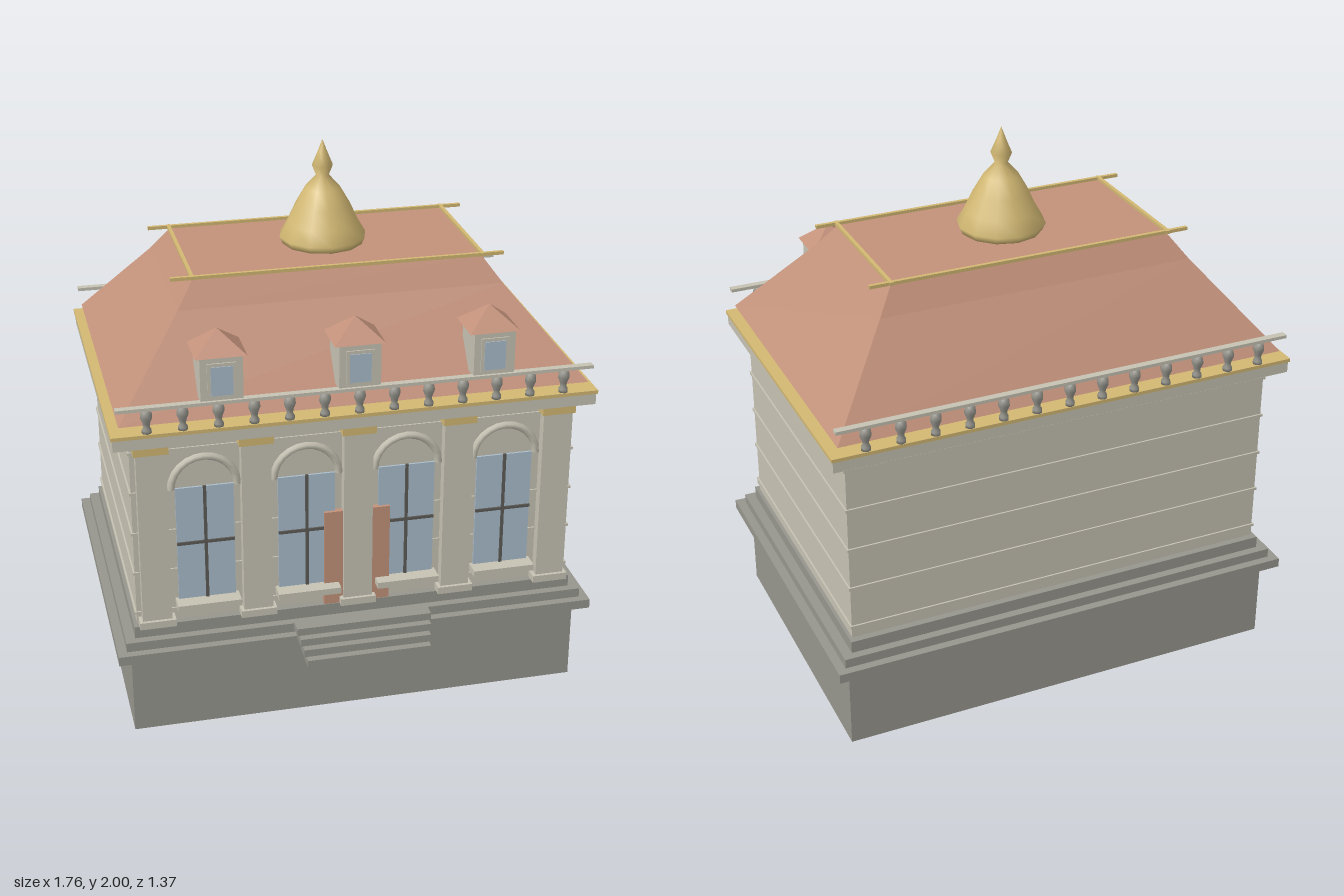
import * as THREE from 'three';

const CZ = -0.07; // centre of the building in depth

function mat(name, color) {
  const m = new THREE.MeshStandardMaterial({ color });
  m.name = name;
  return m;
}

export function createModel() {
  const root = new THREE.Group();
  root.name = 'mansion';
  const stone = mat('pale stone', 0xc6c2b3);
  const base = mat('grey stone', 0x96958d);
  const tile = mat('terracotta', 0xc2917a);
  const gold = mat('gold', 0xd2b873);
  const glass = mat('window glass', 0xaabccb);
  const iron = mat('dark iron', 0x5c5b56);

  const add = (name, geometry, material, x, y, z, parent = root) => {
    const m = new THREE.Mesh(geometry, material);
    m.name = name;
    m.position.set(x, y, z);
    parent.add(m);
    return m;
  };
  // box given by its centre in x and z and by its bottom and top
  const box = (name, material, w, y0, y1, d, x = 0, z = CZ, parent = root) =>
    add(name, new THREE.BoxGeometry(w, y1 - y0, d), material, x, (y0 + y1) / 2, z, parent);
  // box whose top is resized
  const frustum = (name, material, w, d, topW, topD, y0, y1, x = 0, z = CZ, parent = root) => {
    const g = new THREE.BoxGeometry(w, y1 - y0, d);
    const p = g.attributes.position;
    for (let i = 0; i < p.count; i++) {
      if (p.getY(i) > 0) {
        p.setX(i, p.getX(i) * topW / w);
        p.setZ(i, p.getZ(i) * topD / d);
      }
    }
    g.computeVertexNormals();
    return add(name, g, material, x, (y0 + y1) / 2, z, parent);
  };

  // Basement and stepped plinth
  box('basement', base, 1.66, 0, 0.31, 1.13);
  box('plinthLower', base, 1.76, 0.31, 0.345, 1.23);
  box('plinthMiddle', base, 1.695, 0.345, 0.38, 1.17);
  box('plinthUpper', base, 1.625, 0.38, 0.425, 1.11);

  // Walls with slim courses, and the cornice
  box('walls', stone, 1.6, 0.425, 1.14, 1.06);
  for (const y of [0.47, 0.63, 0.787, 0.945, 1.1])
    box('wallCourse', stone, 1.612, y - 0.005, y + 0.005, 1.072);
  box('cornice', stone, 1.72, 1.14, 1.182, 1.18);
  box('corniceTrim', gold, 1.73, 1.182, 1.195, 1.19);

  // Entrance stairs
  for (let i = 0; i < 4; i++) {
    const top = 0.408 - i * 0.028;
    box('stair', base, 0.495 - i * 0.014, top - 0.028, top, 0.06, 0, 0.572 + i * 0.0275);
  }

  // Pilasters
  for (let i = -2; i <= 2; i++) {
    const x = i * 0.365;
    box('pilasterShaft', stone, 0.105, 0.425, 1.14, 0.045, x, 0.475);
    box('pilasterBase', stone, 0.13, 0.425, 0.452, 0.065, x, 0.477);
    box('pilasterCapital', gold, 0.122, 1.108, 1.135, 0.06, x, 0.48);
  }

  // Arched windows
  const archGeo = new THREE.TorusGeometry(0.117, 0.014, 6, 12, Math.PI);
  for (const x of [-0.545, -0.182, 0.182, 0.545]) {
    const w = new THREE.Group();
    w.name = 'archedWindow';
    root.add(w);
    box('windowPane', glass, 0.205, 0.51, 0.952, 0.008, x, 0.467, w);
    box('windowMullion', iron, 0.011, 0.51, 0.955, 0.008, x, 0.473, w);
    box('windowTransom', iron, 0.205, 0.73, 0.741, 0.008, x, 0.473, w);
    box('windowSill', stone, 0.228, 0.488, 0.512, 0.065, x, 0.492, w);
    add('windowArch', archGeo, stone, x, 0.95, 0.468, w);
  }

  // Door behind the middle pilaster
  box('door', tile, 0.24, 0.425, 0.8, 0.025, 0, 0.47);

  // Two-stage hipped roof
  frustum('roofLower', tile, 1.67, 1.14, 1.17, 0.65, 1.22, 1.525);
  frustum('roofUpper', tile, 1.17, 0.65, 1.04, 0.53, 1.525, 1.615);

  // Balustrades along front and back
  const balusterGeo = new THREE.LatheGeometry([
    [0, 0], [0.017, 0], [0.017, 0.012], [0.011, 0.022], [0.013, 0.036],
    [0.021, 0.056], [0.02, 0.07], [0.013, 0.088], [0, 0.088],
  ].map(([r, y]) => new THREE.Vector2(r, y)), 8);
  for (const z of [0.505, -0.647]) {
    const b = new THREE.Group();
    b.name = 'balustrade';
    root.add(b);
    box('handrail', stone, 1.69, 1.279, 1.291, 0.026, 0, z, b);
    for (let i = -6; i <= 6; i++)
      add('baluster', balusterGeo, base, i * 0.1233, 1.195, z, b);
  }

  // Dormers
  for (const x of [-0.48, 0, 0.48]) {
    const d = new THREE.Group();
    d.name = 'dormer';
    root.add(d);
    box('dormerBody', stone, 0.148, 1.285, 1.445, 0.14, x, 0.437, d);
    box('dormerFrame', stone, 0.1, 1.298, 1.427, 0.006, x, 0.509, d);
    box('dormerPane', glass, 0.076, 1.31, 1.415, 0.006, x, 0.512, d);
    frustum('dormerRoof', tile, 0.18, 0.165, 0.001, 0.001, 1.445, 1.522, x, 0.427, d);
  }

  // Gold rails around the roof top
  for (const s of [-1, 1]) {
    box('roofRailLong', gold, 1.2, 1.614, 1.626, 0.013, 0, CZ + s * 0.27);
    box('roofRailShort', gold, 0.013, 1.614, 1.626, 0.56, s * 0.523, CZ);
  }

  // Bell-shaped spire
  const spire = new THREE.LatheGeometry([
    [0, 1.62], [0.148, 1.62], [0.159, 1.645], [0.13, 1.695], [0.1, 1.76],
    [0.064, 1.822], [0.023, 1.868], [0.038, 1.905], [0.017, 1.955], [0, 2],
  ].map(([r, y]) => new THREE.Vector2(r, y)), 12);
  add('spire', spire, gold, 0, 0, CZ);

  return root;
}
